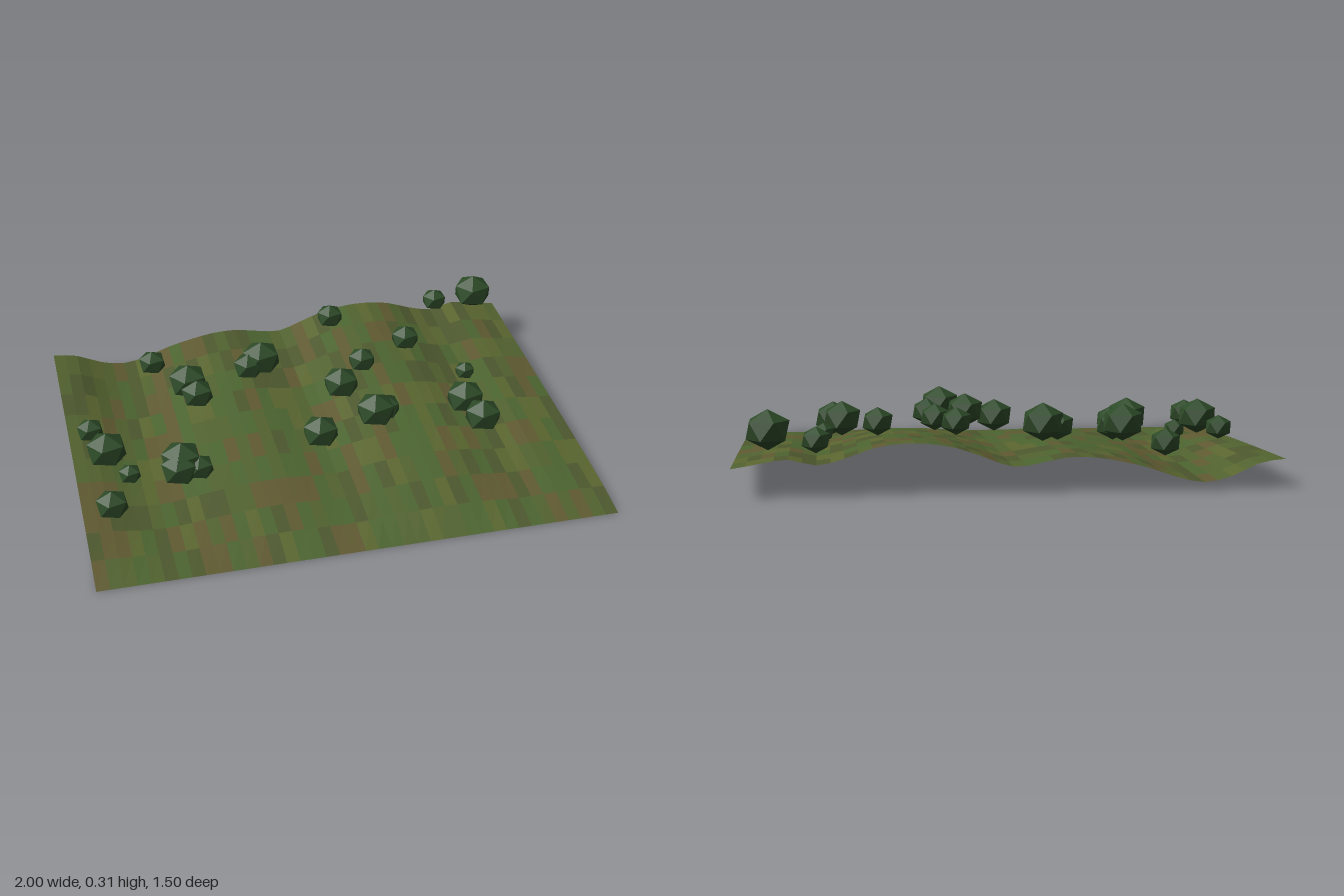
import * as THREE from 'three';

const COLS = 40, ROWS = 10, WIDTH = 2, DEPTH = 1.5;

// ridge heights along the back edge, evenly spaced from x = -1 to x = 1
const RIDGE = [0.11, 0.095, 0.05, 0.03, 0.05, 0.085, 0.11, 0.128, 0.13, 0.112, 0.1,
  0.135, 0.17, 0.188, 0.19, 0.175, 0.14, 0.118, 0.14, 0.127, 0.11];

// bushes: x, y, z of the centre and radius seen from above
const BUSHES = [
  [0.87, 0.235, -0.665, 0.078], [0.7, 0.2, -0.69, 0.051], [0.19, 0.243, -0.58, 0.054],
  [-0.6, 0.145, -0.535, 0.055], [-0.16, 0.203, -0.37, 0.078], [-0.22, 0.185, -0.345, 0.06],
  [-0.485, 0.185, -0.29, 0.077], [-0.46, 0.165, -0.215, 0.064], [0.47, 0.215, -0.37, 0.057],
  [0.245, 0.21, -0.245, 0.055], [0.675, 0.143, -0.165, 0.04], [-0.915, 0.13, -0.1, 0.051],
  [0.115, 0.213, -0.085, 0.07], [-0.87, 0.15, 0.08, 0.076], [-0.795, 0.083, 0.17, 0.042],
  [-0.595, 0.14, 0.2, 0.078], [-0.61, 0.125, 0.24, 0.07], [-0.53, 0.12, 0.24, 0.053],
  [-0.03, 0.155, 0.16, 0.07], [0.2, 0.21, 0.14, 0.075], [0.255, 0.185, 0.09, 0.057],
  [0.6, 0.165, 0.065, 0.074], [0.635, 0.15, 0.19, 0.071], [-0.89, 0.118, 0.4, 0.06],
];

function seeded(seed) {
  return () => {
    seed = (seed * 16807) % 2147483647;
    return seed / 2147483647;
  };
}

// hillside: a ridge profile fading to zero at the front edge, with patchy grass and soil
function makeHillside() {
  const ridge = new THREE.SplineCurve(
    RIDGE.map((h, i) => new THREE.Vector2(i / 10 - 1, h)));
  const geometry = new THREE.PlaneGeometry(WIDTH, DEPTH, COLS, ROWS).rotateX(-Math.PI / 2);
  const pos = geometry.attributes.position;
  for (let i = 0; i < pos.count; i++) {
    const across = THREE.MathUtils.clamp(pos.getX(i) / WIDTH + 0.5, 0, 1);
    const back = THREE.MathUtils.clamp(0.5 - pos.getZ(i) / DEPTH, 0, 1);
    pos.setY(i, ridge.getPoint(across).y * Math.pow(back, 0.7));
  }

  // sort the grid cells into one group per ground colour
  const palette = [0x52622f, 0x5a6630, 0x4c6430, 0x4d582e, 0x5f5a31];
  const buckets = palette.map(() => []);
  const random = seeded(77);
  const old = geometry.index.array;
  for (let cell = 0; cell < COLS * ROWS; cell++) {
    buckets[Math.floor(random() * palette.length)].push(...old.slice(cell * 6, cell * 6 + 6));
  }
  geometry.setIndex(buckets.flat());
  let start = 0;
  buckets.forEach((bucket, i) => {
    geometry.addGroup(start, bucket.length, i);
    start += bucket.length;
  });
  geometry.computeVertexNormals();

  const materials = palette.map(color => new THREE.MeshStandardMaterial(
    { color, flatShading: true, side: THREE.DoubleSide }));
  const hillside = new THREE.Mesh(geometry, materials);
  hillside.name = 'hillside';
  return hillside;
}

// bushes: slightly flattened icosahedra standing on a corner
function makeBushes() {
  const group = new THREE.Group();
  group.name = 'bushes';
  const golden = (1 + Math.sqrt(5)) / 2;
  const geometry = new THREE.IcosahedronGeometry(1, 0).rotateZ(Math.atan2(1, golden));
  const material = new THREE.MeshStandardMaterial({ color: 0x2d4a28, flatShading: true });
  BUSHES.forEach(([x, y, z, r]) => {
    const bush = new THREE.Mesh(geometry, material);
    const radius = r / 0.894;
    bush.name = 'bush';
    bush.position.set(x, y, z);
    bush.scale.set(radius, radius * 0.85, radius);
    group.add(bush);
  });
  return group;
}

export function createModel() {
  const model = new THREE.Group();
  model.name = 'hillsideWithBushes';
  model.add(makeHillside(), makeBushes());
  return model;
}
